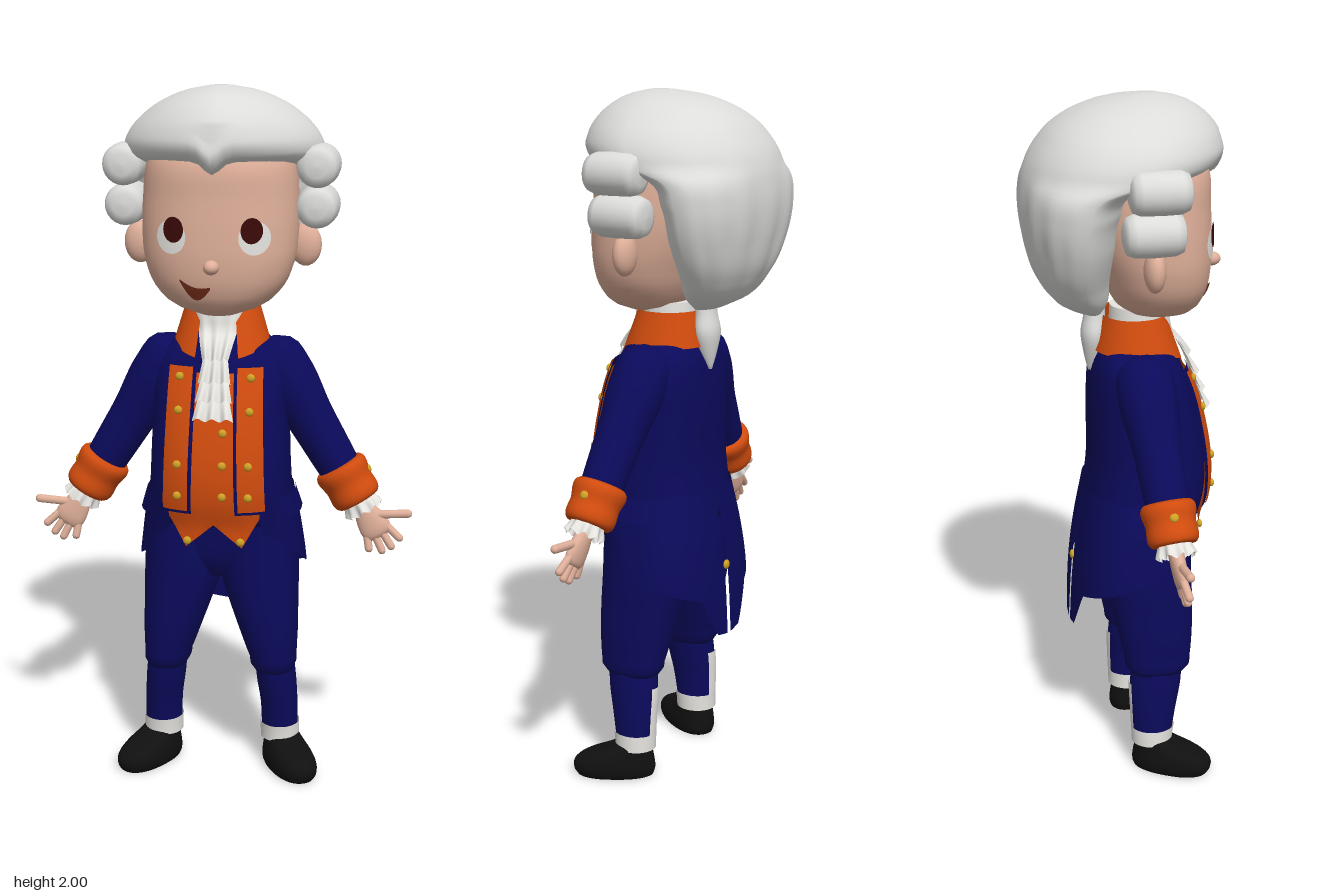
import * as THREE from 'three';
import { mergeVertices } from 'three/addons/utils/BufferGeometryUtils.js';

const PI = Math.PI;
const paint = (name, color) => new THREE.MeshStandardMaterial({ name, color, side: THREE.DoubleSide });

// Smooth surface through fn(u, v) -> [x, y, z]
function grid(fn, nu, nv) {
  const pos = [], idx = [];
  for (let j = 0; j <= nv; j++) for (let i = 0; i <= nu; i++) pos.push(...fn(i / nu, j / nv));
  for (let j = 0; j < nv; j++) for (let i = 0; i < nu; i++) {
    const a = j * (nu + 1) + i, d = a + nu + 1;
    idx.push(a, a + 1, d + 1, a, d + 1, d);
  }
  let geo = new THREE.BufferGeometry();
  geo.setAttribute('position', new THREE.Float32BufferAttribute(pos, 3));
  geo.setIndex(idx);
  geo = mergeVertices(geo, 1e-5);
  geo.computeVertexNormals();
  return geo;
}

// Body of oval cross-sections; rows are [y, halfWidth, zFront, zBack, xCentre]
function body(rows, nFront = 2, nBack = nFront) {
  const curve = new THREE.CubicInterpolant(rows.map(r => r[0]),
    rows.flatMap(r => [r[1], r[2], r[3], r[4] || 0]), 4);
  const y0 = rows[0][0], y1 = rows[rows.length - 1][0];
  const point = (t, y, grow = 0) => {
    const [w, zf, zb, cx] = curve.evaluate(y);
    const s = Math.sin(t), c = Math.cos(t), e = 2 / (c > 0 ? nFront : nBack);
    return [cx + (w + grow) * Math.sign(s) * Math.abs(s) ** e, y,
      (zf + zb) / 2 + ((zf - zb) / 2 + grow) * Math.sign(c) * Math.abs(c) ** e];
  };
  const frontZ = (x, y) => {
    const [w, zf, zb, cx] = curve.evaluate(y);
    const k = Math.min(1, Math.abs(x - cx) / w);
    return (zf + zb) / 2 + (zf - zb) / 2 * (1 - k ** nFront) ** (1 / nFront);
  };
  // closed solid: first and last rows shrink to the middle
  const solid = (nu = 40, nv = 24, warp = p => p) => grid((u, v) => {
    const j = Math.round(v * (nv + 2));
    const y = y0 + (y1 - y0) * Math.min(1, Math.max(0, (j - 1) / nv));
    if (j === 0 || j === nv + 2) {
      const [, zf, zb, cx] = curve.evaluate(y);
      return [cx, y, (zf + zb) / 2];
    }
    return warp(point(u * 2 * PI, y), u * 2 * PI);
  }, nu, nv + 2);
  // thin plate laid on the front
  const patch = (fn, off, nu = 12, nv = 16) => grid((u, v) => {
    const [x, y] = fn(u, v);
    return [x, y, frontZ(x, y) + off];
  }, nu, nv);
  return { point, frontZ, solid, patch };
}

const disc = (cx, cy, rx, ry) => (u, v) => [cx + rx * v * Math.cos(-2 * PI * u), cy + ry * v * Math.sin(-2 * PI * u)];

export function createModel() {
  const root = new THREE.Group();
  root.name = 'gentleman';
  const hair = paint('wig grey', 0xdcdcda), white = paint('linen white', 0xe9e7e2);
  const skin = paint('skin', 0xe0b09a), navy = paint('navy cloth', 0x0b0a5c);
  const orange = paint('orange cloth', 0xd24c0e), gold = paint('gold', 0xcfa125);
  const black = paint('shoe black', 0x101010), iris = paint('dark brown', 0x3a0a08);
  const lip = paint('mouth red', 0x742c1a);

  const add = (name, geo, mat, parent = root) => {
    const m = new THREE.Mesh(geo, mat);
    m.name = name;
    parent.add(m);
    return m;
  };
  // the same part on both sides
  const pair = (name, build) => [1, -1].forEach(s => {
    const g = new THREE.Group();
    g.name = (s > 0 ? 'left ' : 'right ') + name;
    g.scale.x = s;
    build(g);
    root.add(g);
  });
  const ball = (name, mat, p, r, parent) => {
    const m = add(name, new THREE.SphereGeometry(1, 20, 14), mat, parent);
    m.position.set(...p);
    m.scale.set(...r);
    return m;
  };
  const rod = (name, mat, a, b, r, parent) => {
    const A = new THREE.Vector3(...a), B = new THREE.Vector3(...b), d = B.clone().sub(A);
    const m = add(name, new THREE.CapsuleGeometry(r, d.length(), 4, 10), mat, parent);
    m.position.copy(A).add(B).multiplyScalar(0.5);
    m.quaternion.setFromUnitVectors(new THREE.Vector3(0, 1, 0), d.normalize());
  };

  // Head and face
  const head = body([[1.378, .05, .16, .05], [1.40, .115, .2, .0], [1.45, .175, .23, -.04], [1.52, .207, .244, -.07],
    [1.6, .218, .246, -.1], [1.7, .217, .242, -.12], [1.8, .205, .235, -.12], [1.86, .18, .2, -.1]], 2.2);
  add('head', head.solid(), skin);
  ball('nose', skin, [0, 1.527, .258], [.022, .02, .027]);
  for (const s of [1, -1]) {
    add('eyeWhite', head.patch(disc(s * .114, 1.604, .042, .046), .003, 28, 6), white);
    add('pupil', head.patch(disc(s * .107, 1.624, .029, .035), .006, 28, 6), iris);
  }
  add('mouth', head.patch((u, v) => {
    const top = 1.49 - .02 * u - .012 * Math.sin(PI * u);
    return [-.09 + .085 * u, top - (1 - v) * (.006 + .03 * Math.sin(PI * u))];
  }, .005, 14, 4), lip);
  pair('ear', g => ball('ear', skin, [.235, 1.565, .04], [.045, .06, .03], g));

  // Wig with a widow's peak and soft ridges down the back
  const wig = body([[1.40, .07, -.06, -.125], [1.43, .13, -.045, -.185], [1.5, .195, -.04, -.24], [1.6, .25, -.02, -.272],
    [1.7, .277, 0, -.285], [1.77, .283, .06, -.28], [1.805, .284, .235, -.272], [1.84, .28, .277, -.258],
    [1.88, .26, .275, -.232], [1.92, .222, .255, -.195], [1.96, .163, .212, -.13], [1.99, .085, .15, -.04], [2.0, .03, .1, .03]], 1.75, 2.2);
  add('wig', wig.solid(72, 56, ([x, y, z], t) => {
    const low = Math.max(0, 1 - Math.abs(y - 1.6) / .25) * Math.max(0, -Math.cos(t));
    const k = 1 + .018 * low * Math.cos(14 * t);
    const peak = z > .12 && y < 1.9 ? .035 * Math.exp(-((x / .03) ** 2)) : 0;
    return [x * k, y - peak, z * k];
  }), hair);
  const curlShape = new THREE.LatheGeometry([[0, -.085], [.03, -.083], [.05, -.075], [.058, -.055], [.06, 0], [.058, .055],
    [.05, .075], [.03, .083], [0, .085]].map(p => new THREE.Vector2(...p)), 24);
  pair('side curls', g => [[.27, 1.785, .045], [.268, 1.673, .03]].forEach(p => {
    const m = add('curl', curlShape, hair, g);
    m.position.set(...p);
    m.rotation.x = PI / 2;
  }));
  add('ponytail', body([[1.22, .006, -.085, -.1], [1.27, .03, -.06, -.112], [1.33, .046, -.05, -.12], [1.38, .035, -.05, -.112],
    [1.42, .03, -.05, -.11]]).solid(20, 14), hair);

  // Coat body, collar and neckcloth
  const torso = body([[.78, .205, .212, -.115], [.85, .205, .232, -.11], [.95, .2, .236, -.1], [1.1, .195, .21, -.1],
    [1.2, .193, .178, -.095], [1.27, .165, .15, -.083], [1.32, .1, .12, -.055], [1.34, .06, .1, -.03]], 2.5);
  add('coatBody', torso.solid(48, 28), navy);
  const collar = body([[0, .137, .17, -.088], [1, .107, .122, -.062]], 2.2);
  add('collar', grid((u, v) => {
    const t = .42 + u * (2 * PI - .84), [x, , z] = collar.point(t, v);
    const droop = Math.max(0, Math.cos(t)) ** 2;
    return [x, 1.288 - .035 * droop * (1 - v) + v * .1, z];
  }, 48, 6), orange);
  add('neckband', new THREE.CylinderGeometry(.076, .08, .12, 32), white).position.set(0, 1.35, .04);
  [[1.385, 1.26, .068, .036], [1.29, 1.2, .03, .046], [1.22, 1.15, .036, .052], [1.17, 1.1, .04, .058]].forEach(([t, b, wt, wb]) =>
    add('neckclothRuffle', grid((u, v) => {
      const k = u * 2 - 1, x = k * (wb + (wt - wb) * v);
      const y = b + (t - b) * v + (1 - v) * .006 * Math.cos(k * 9);
      return [x, y, torso.frontZ(x, Math.min(y, 1.33)) + .022 + (1 - v) * (.015 + .008 * Math.cos(k * 9))];
    }, 28, 8), white));

  // Waistcoat with a notched hem
  const hem = new THREE.LinearInterpolant([0, .08, .13], [.79, .722, .81], 1);
  add('waistcoat', torso.patch((u, v) => {
    const x = (u * 2 - 1) * .13, b = hem.evaluate(Math.abs(x))[0];
    return [x, b + (1.22 - b) * v];
  }, .01, 26, 20), orange);

  // Coat facings and their edging
  const strip = (a0, b0, a1, b1, y0, y1) => (u, v) => [(a0 + (b0 - a0) * u) * (1 - v) + (a1 + (b1 - a1) * u) * v, y0 + (y1 - y0) * v];
  pair('coat front', g => {
    add('coatEdge', torso.patch(strip(.062, .15, .052, .138, .825, 1.245), .014), navy, g);
    add('facing', torso.patch(strip(.072, .146, .062, .132, .835, 1.237), .02), orange, g);
    [1.21, 1.12, .97, .88].forEach(y =>
      ball('button', gold, [.1, y, torso.frontZ(.1, y) + .022], [.012, .012, .008], g));
    ball('hemButton', gold, [.076, .74, torso.frontZ(.076, .74) + .012], [.012, .012, .008], g);
  });
  [1.06, .97, .88].forEach(y => ball('vestButton', gold, [.027, y, torso.frontZ(.027, y) + .012], [.012, .012, .008]));

  // Coat skirt, cut away at the front and falling to tails
  const skirt = body([[.42, .235, .19, -.162], [.6, .245, .185, -.152], [.72, .232, .195, -.138], [.87, .207, .232, -.112]], 2.5);
  const edge = new THREE.LinearInterpolant([.17, .5, .86, .94, 1], [.76, .63, .56, .44, .43], 1);
  pair('coat skirt', g => {
    add('skirt', grid((u, v) => {
      const t = .17 + .825 * u, b = edge.evaluate(t)[0];
      return skirt.point(t * PI, b + (.87 - b) * v, .002);
    }, 48, 14), navy, g);
    add('pocketFlap', grid((u, v) => skirt.point((.3 + .3 * u) * PI, .8 + .06 * v, .014 - .008 * v), 14, 4), navy, g);
  });
  ball('tailButton', gold, [0, .64, -.152], [.014, .014, .008]);

  // Arms, hanging outward from the shoulder
  const round = rows => body(rows.map(([y, r]) => [y, r, r, -r]));
  pair('arm', g => {
    g.position.set(.15 * g.scale.x, 1.24, .03);
    g.rotation.set(-.08, 0, .55 * g.scale.x);
    add('sleeve', round([[-.42, .058], [-.3, .064], [-.2, .069], [-.05, .083], [.03, .066], [.055, .03]]).solid(28, 18), navy, g);
    add('cuff', round([[-.478, .062], [-.472, .068], [-.42, .071], [-.365, .074], [-.36, .068]]).solid(28, 16), orange, g);
    ball('cuffButton', gold, [.07, -.41, 0], [.008, .013, .013], g);
    add('wristFrill', grid((u, v) => {
      const t = u * 2 * PI, r = .042 + (1 - v) * (.012 + .006 * Math.cos(9 * t));
      return [r * Math.sin(t), -.512 + .05 * v + (1 - v) * .006 * Math.cos(9 * t), r * Math.cos(t)];
    }, 54, 4), white, g);
    add('palm', body([[-.6, .032, .013, -.012], [-.585, .043, .019, -.016], [-.545, .042, .022, -.02],
      [-.5, .03, .022, -.022], [-.46, .03, .024, -.024]]).solid(24, 12), skin, g);
    rod('thumb', skin, [.025, -.54, .004], [.103, -.58, .008], .0125, g);
    [[.03, .046, -.63], [.011, .013, -.64], [-.01, -.016, -.638], [-.03, -.046, -.615]].forEach(([a, b, y]) =>
      rod('finger', skin, [a, -.575, 0], [b, y, .006], .0115, g));
  });

  // Breeches, stockings and shoes
  add('breechesSeat', body([[.61, .1, .14, -.05], [.66, .17, .165, -.075], [.75, .2, .18, -.09], [.85, .195, .19, -.09]], 2.4).solid(), navy);
  const stocking = body([[.1, .054, .112, -.003, .177], [.2, .055, .128, -.008, .174], [.27, .058, .142, -.01, .167],
    [.34, .058, .148, -.005, .16]]);
  const shoe = body([[0, .058, .172, -.055], [.015, .064, .182, -.06], [.045, .064, .178, -.058], [.068, .058, .14, -.054],
    [.083, .053, .09, -.052], [.1, .048, .05, -.05]], 2.3);
  pair('leg', g => {
    add('breechesLeg', body([[.315, .058, .152, -.008, .16], [.325, .067, .168, -.02, .158], [.345, .067, .17, -.022, .158],
      [.38, .074, .175, -.03, .152], [.44, .086, .18, -.042, .142], [.52, .1, .183, -.06, .127], [.6, .113, .182, -.078, .114],
      [.75, .112, .18, -.088, .106], [.85, .1, .18, -.085, .1]], 2.3).solid(36, 26), navy, g);
    add('stocking', stocking.solid(28, 12), navy, g);
    add('ankleBand', grid((u, v) => stocking.point(u * 2 * PI, .085 + .05 * v, .004), 28, 2), white, g);
    add('backStripe', grid((u, v) => stocking.point(PI * (.9 + .22 * u), .13 + .15 * v, .004), 8, 6), white, g);
    const s = add('shoe', shoe.solid(36, 16), black, g);
    s.position.set(.18, 0, .055);
    s.rotation.y = .53;
  });
  return root;
}
